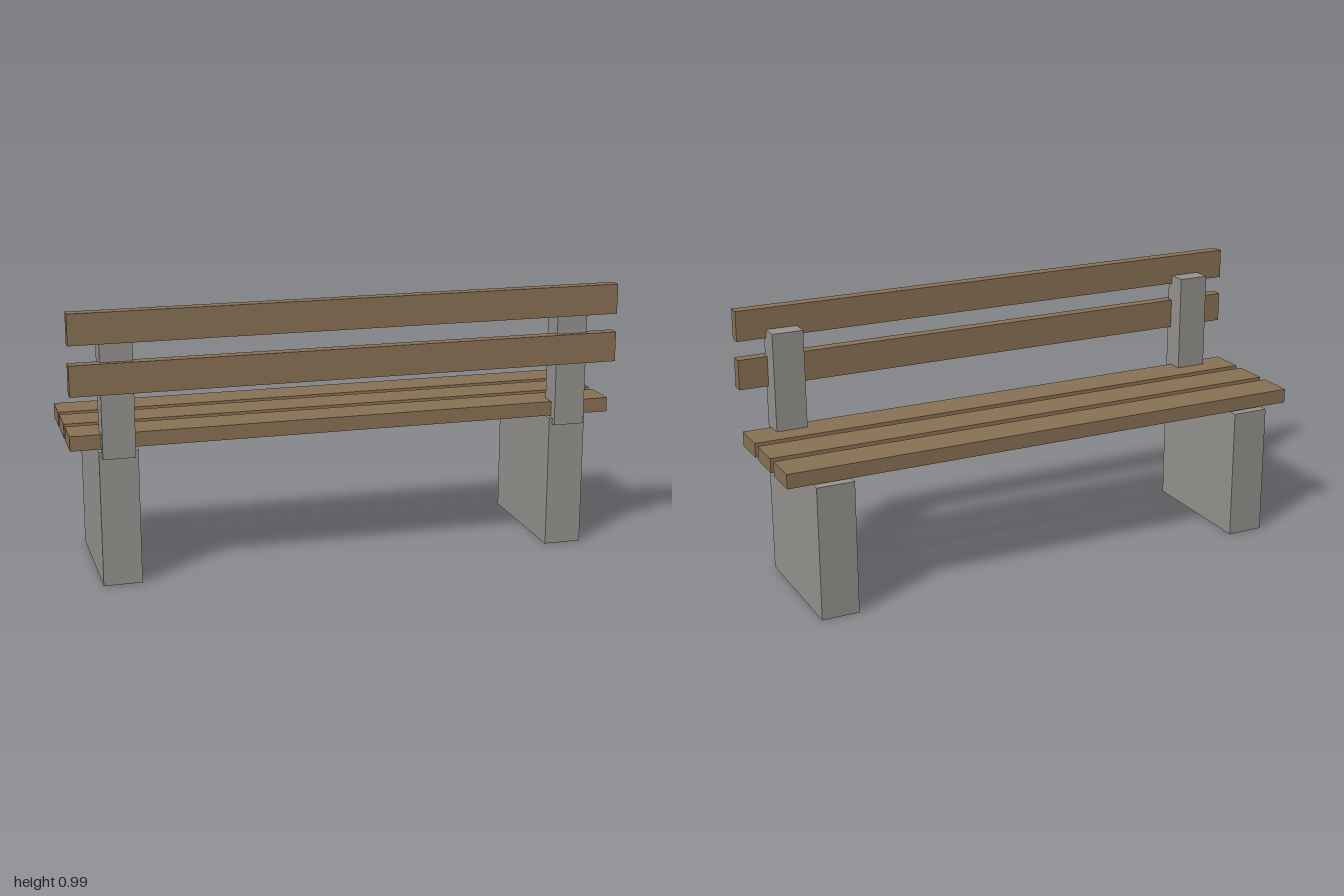
import * as THREE from 'three';

export function createModel() {
  const bench = new THREE.Group();
  bench.name = 'bench';
  const wood = new THREE.MeshStandardMaterial({ color: 0x8b7355 });
  const concrete = new THREE.MeshStandardMaterial({ color: 0x969590 });

  // Box given by its extents on each axis
  const block = (name, material, [x0, x1], [y0, y1], [z0, z1]) => {
    const mesh = new THREE.Mesh(new THREE.BoxGeometry(x1 - x0, y1 - y0, z1 - z0), material);
    mesh.position.set((x0 + x1) / 2, (y0 + y1) / 2, (z0 + z1) / 2);
    mesh.name = name;
    bench.add(mesh);
  };

  // Concrete legs and the posts that carry the backrest
  for (const [side, s] of [['left', 1], ['right', -1]]) {
    const span = (a, b) => (s > 0 ? [a, b] : [-b, -a]);
    block(`${side}Leg`, concrete, span(0.765, 0.903), [0, 0.49], [-0.269, 0.231]);
    block(`${side}BackPost`, concrete, span(0.777, 0.892), [0.468, 0.911], [0.16, 0.25]);
  }

  // Three seat planks
  [-0.185, -0.018, 0.149].forEach((z, i) =>
    block(`seatPlank${i + 1}`, wood, [-1, 1], [0.497, 0.55], [z - 0.067, z + 0.067]));

  // Two backrest planks
  [0.757, 0.935].forEach((y, i) =>
    block(`backPlank${i + 1}`, wood, [-1, 1], [y - 0.055, y + 0.055], [0.227, 0.27]));

  return bench;
}
